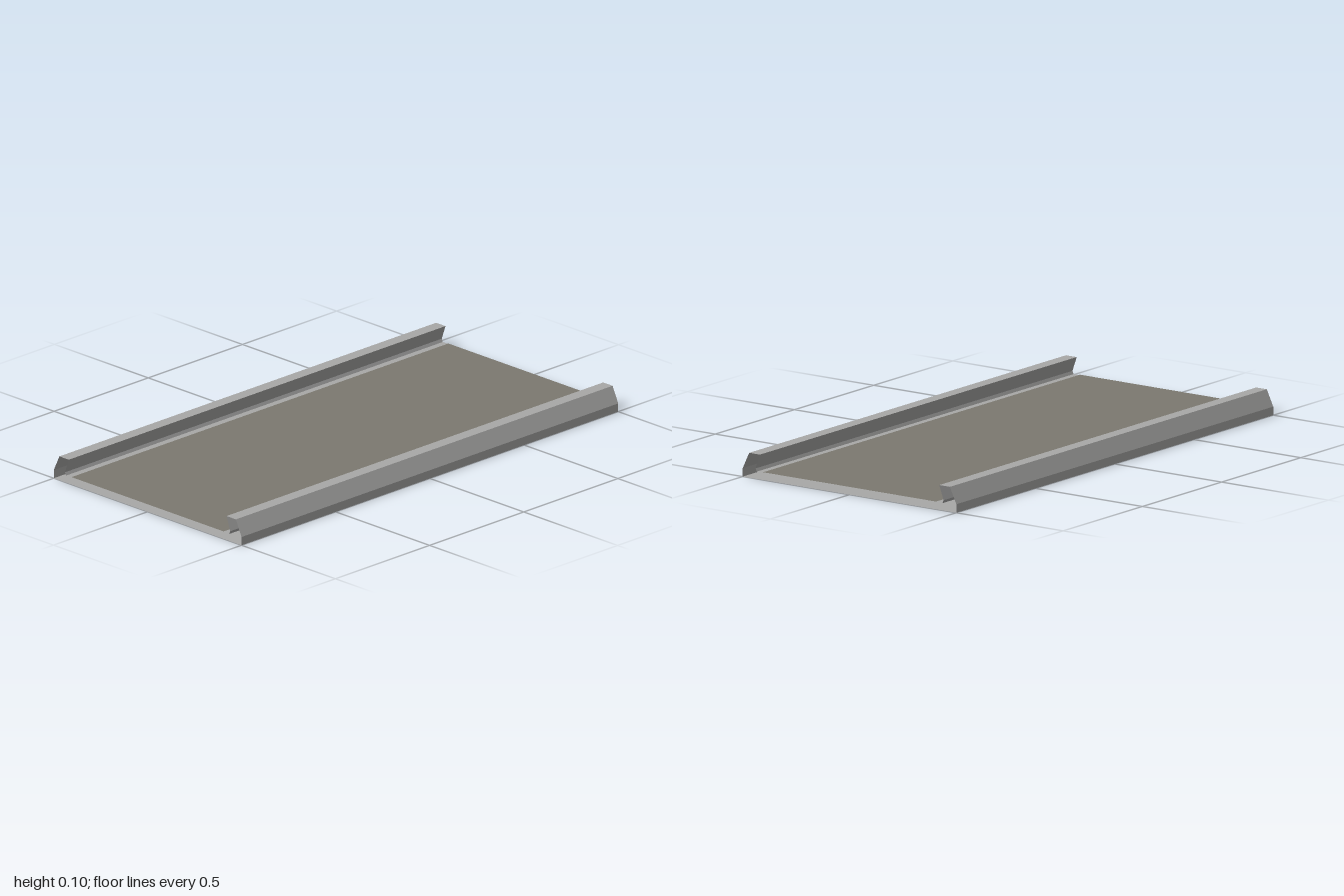
import * as THREE from 'three';

const HALF_LENGTH = 1;

// Open-ended sheet swept along z; points run counter-clockwise, so faces look outward
function sweep(points) {
  const pos = [];
  for (let i = 0; i + 1 < points.length; i++) {
    const [ax, ay] = points[i];
    const [bx, by] = points[i + 1];
    const a = [ax, ay, HALF_LENGTH], b = [bx, by, HALF_LENGTH];
    const c = [bx, by, -HALF_LENGTH], d = [ax, ay, -HALF_LENGTH];
    pos.push(...a, ...d, ...b, ...b, ...d, ...c);
  }
  const geo = new THREE.BufferGeometry();
  geo.setAttribute('position', new THREE.Float32BufferAttribute(pos, 3));
  geo.computeVertexNormals();
  // keep the winding in line with the outward direction
  return geo;
}

export function createModel() {
  const grey = new THREE.MeshStandardMaterial({ color: 0xa8a8a7, side: THREE.DoubleSide });
  const floorBrown = new THREE.MeshStandardMaterial({ color: 0x7c7970, side: THREE.DoubleSide });
  grey.name = 'concrete grey';
  floorBrown.name = 'floor brown';

  const model = new THREE.Group();
  model.name = 'walkwaySegment';
  const add = (name, points, material) => {
    const mesh = new THREE.Mesh(sweep(points), material);
    mesh.name = name;
    model.add(mesh);
  };

  // Right half of the kerb section: outer wall, bevel, top, undercut, floor ledge
  const kerb = [[0.5, 0], [0.5, 0.033], [0.47, 0.096], [0.42, 0.096], [0.44, 0.04], [0.435, 0.028], [0.4, 0.028]];
  const mirrored = kerb.map(([x, y]) => [-x, y]).reverse();
  add('leftKerb', kerb, grey);
  add('rightKerb', mirrored, grey);

  // Underside and walking surface
  add('underside', [[-0.5, 0], [0.5, 0]], grey);
  add('floor', [[0.405, 0.03], [-0.405, 0.03]], floorBrown);
  return model;
}
